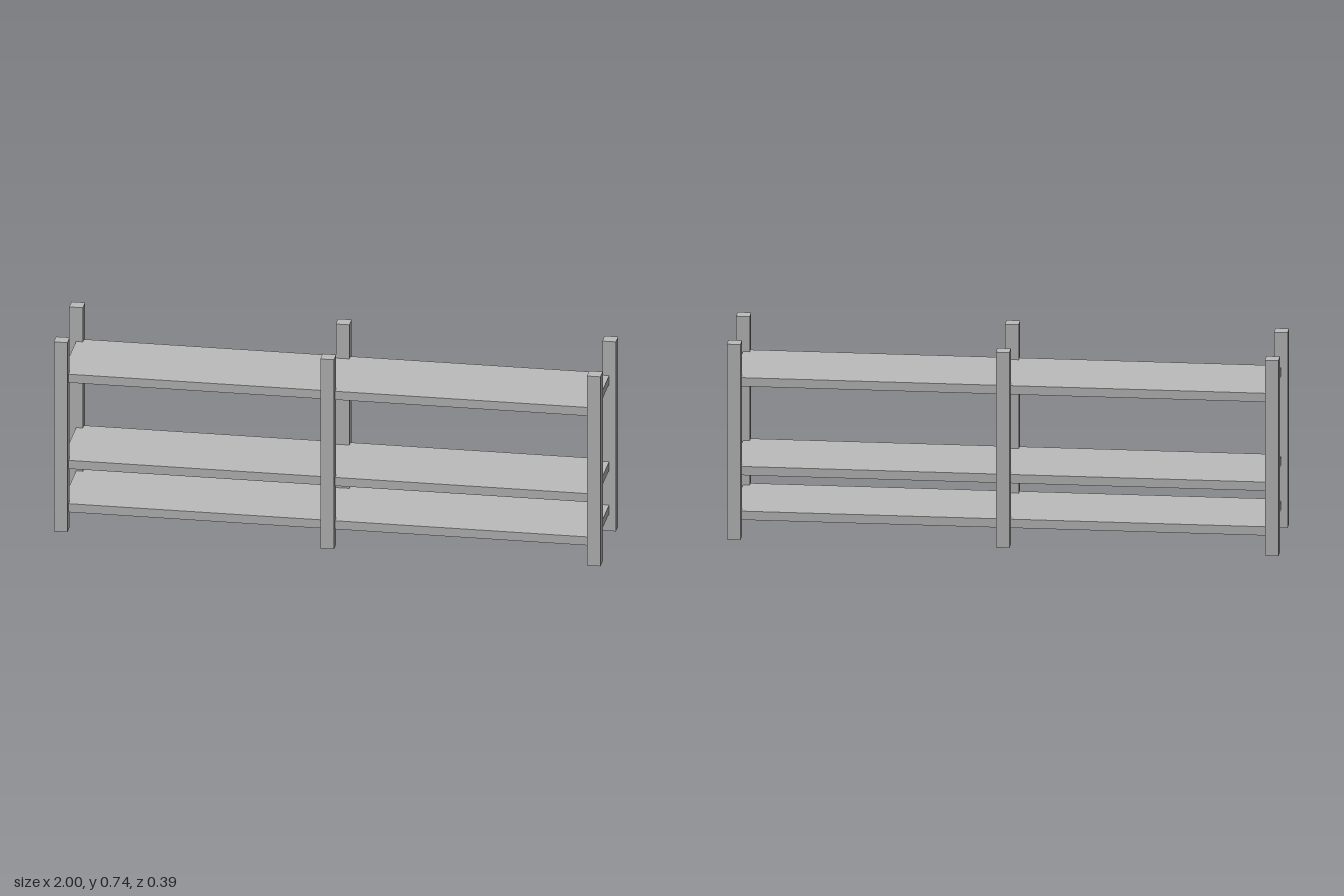
import * as THREE from 'three';

export function createModel() {
  const group = new THREE.Group();
  const grey = new THREE.MeshStandardMaterial({ color: 0xbcbcbc });
  grey.name = 'light grey';

  const POST = 0.05, HEIGHT = 0.739, THICK = 0.033;
  const X = 0.975, Z = 0.168; // post centre lines

  const addBox = (name, w, h, d, x, y, z) => {
    const mesh = new THREE.Mesh(new THREE.BoxGeometry(w, h, d), grey);
    mesh.name = name;
    mesh.position.set(x, y, z);
    group.add(mesh);
  };

  // Six square posts: right, middle and left, front and back
  [['right', -X], ['middle', 0], ['left', X]].forEach(([side, x]) => {
    addBox(`${side}FrontPost`, POST, HEIGHT, POST, x, HEIGHT / 2, Z);
    addBox(`${side}BackPost`, POST, HEIGHT, POST, x, HEIGHT / 2, -Z);
  });

  // Three boards reaching to the centre lines of the posts
  [['lower', 0.0845], ['middle', 0.2535], ['upper', 0.5895]].forEach(([level, y]) => {
    addBox(`${level}Shelf`, 2 * X, THICK, 2 * Z, 0, y, 0);
  });

  return group;
}
